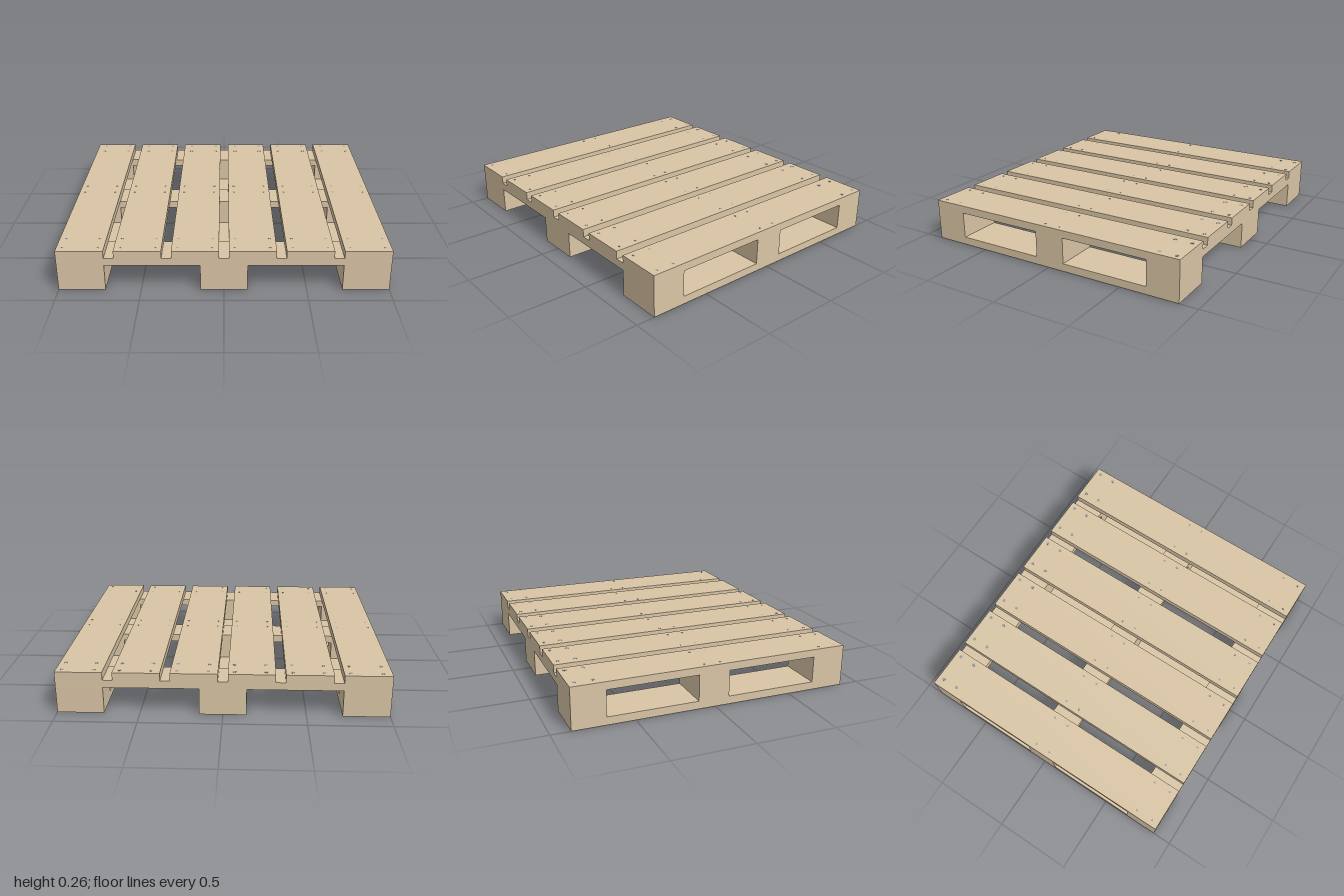
import * as THREE from 'three';

const wood = new THREE.MeshStandardMaterial({ color: 0xd9c5a5 });
const steel = new THREE.MeshStandardMaterial({ color: 0x999da0 });

// Box given by its lower and upper limits on each axis
function board(name, [x0, x1], [y0, y1], [z0, z1]) {
  const mesh = new THREE.Mesh(new THREE.BoxGeometry(x1 - x0, y1 - y0, z1 - z0), wood);
  mesh.position.set((x0 + x1) / 2, (y0 + y1) / 2, (z0 + z1) / 2);
  mesh.name = name;
  return mesh;
}

export function createModel() {
  const pallet = new THREE.Group();
  pallet.name = 'pallet';

  const halfDepth = 0.88, boardWidth = 0.284, boardCount = 6;
  const yBottom = 0.05, yBlock = 0.167, yCross = 0.215, yTop = 0.264;
  const fullZ = [-halfDepth, halfDepth];
  const rowsZ = [[-halfDepth, -0.672], [-0.106, 0.09], [0.668, halfDepth]];
  const runnersX = [[-1, -0.716], [-0.142, 0.142], [0.716, 1]];

  // Bottom runners with three blocks on each
  for (const x of runnersX) {
    pallet.add(board('bottomRunner', x, [0, yBottom], fullZ));
    for (const z of rowsZ) pallet.add(board('block', x, [yBottom, yBlock], z));
  }

  // Cross boards on top of the blocks
  for (const z of rowsZ) pallet.add(board('crossBoard', [-1, 1], [yBlock, yCross], z));

  // Nail rows: z position, head radius, distance of the first nail from the board edge
  const nailRows = [
    [-0.84, 0.011, 0.056], [-0.733, 0.011, 0.056],
    [-0.06, 0.007, 0.037], [0.041, 0.007, 0.037],
    [0.72, 0.007, 0.037], [0.832, 0.007, 0.037],
  ];

  // Deck boards with their nail heads
  const pitch = (2 - boardWidth) / (boardCount - 1);
  for (let i = 0; i < boardCount; i++) {
    const x = -1 + i * pitch;
    pallet.add(board('deckBoard', [x, x + boardWidth], [yCross, yTop], fullZ));
    for (const [z, radius, inset] of nailRows) {
      for (const dx of [inset, 0.246]) {
        const nail = new THREE.Mesh(new THREE.CylinderGeometry(radius, radius, 0.006, 16), steel);
        nail.position.set(x + dx, yTop - 0.002, z);
        nail.name = 'nailHead';
        pallet.add(nail);
      }
    }
  }
  return pallet;
}
